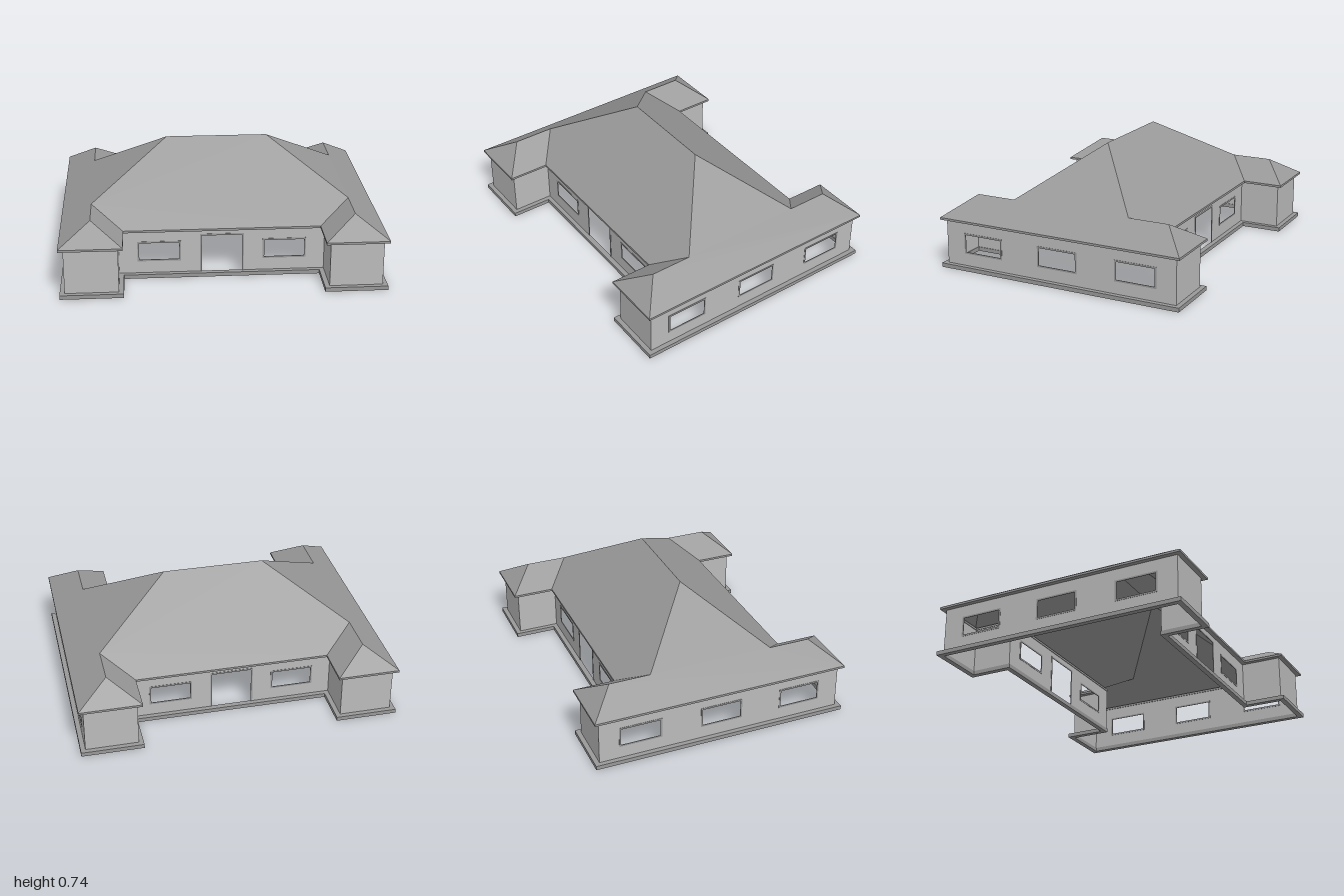
import * as THREE from 'three';

const material = color => new THREE.MeshStandardMaterial({ color, flatShading: true, side: THREE.DoubleSide });
const wallGrey = material(0xbbbbbb);
const darkGrey = material(0x999999);

function mesh(name, geometry, mat = darkGrey) {
  const m = new THREE.Mesh(geometry, mat);
  m.name = name;
  return m;
}

// H-shaped floor plan, offset outward from the walls by d
function plan(d) {
  const a = 0.97 + d, b = 0.642 - d, c = 0.786 + d, e = 0.524 + d;
  return [[a, -c], [a, c], [b, c], [b, e], [-b, e], [-b, c], [-a, c],
    [-a, -c], [-b, -c], [-b, -e], [b, -e], [b, -c]].map(([x, z]) => new THREE.Vector2(x, z));
}

// Flat band following the plan
function band(name, y, height) {
  const shape = new THREE.Shape(plan(0.03));
  shape.holes.push(new THREE.Path(plan(-0.004)));
  const g = new THREE.ExtrudeGeometry(shape, { depth: height, bevelEnabled: false });
  g.rotateX(-Math.PI / 2).translate(0, y, 0);
  return mesh(name, g);
}

function rect(Type, x0, x1, y0, y1) {
  return new Type([[x0, y0], [x1, y0], [x1, y1], [x0, y1]].map(p => new THREE.Vector2(...p)));
}

// Thin wall with framed openings [centre, half width, bottom, top]
function wall(name, width, x, z, angle, openings = []) {
  const group = new THREE.Group();
  group.name = name;
  const shape = rect(THREE.Shape, -width / 2, width / 2, 0.012, 0.315);
  const f = 0.011;
  for (const [c, h, y0, y1] of openings) {
    shape.holes.push(rect(THREE.Path, c - h, c + h, y0, y1));
    const frame = rect(THREE.Shape, c - h - f, c + h + f, y0 - f, y1 + f);
    frame.holes.push(rect(THREE.Path, c - h, c + h, y0, y1));
    const g = new THREE.ExtrudeGeometry(frame, { depth: 0.004, bevelEnabled: false });
    g.translate(0, 0, -0.002);
    group.add(mesh(y0 < 0.05 ? 'doorFrame' : 'windowFrame', g));
  }
  group.add(mesh('wallPanel', new THREE.ShapeGeometry(shape), wallGrey));
  group.position.set(x, 0, z);
  group.rotation.y = angle;
  return group;
}

// Sloping roof face from corners [x, y, z], wound to face upwards
function roofFace(name, corners) {
  const flat = corners.map(([x, , z]) => new THREE.Vector2(x, z));
  const pos = [];
  for (const [i, j, k] of THREE.ShapeUtils.triangulateShape(flat, [])) {
    const up = (flat[j].x - flat[i].x) * (flat[k].y - flat[i].y)
      - (flat[j].y - flat[i].y) * (flat[k].x - flat[i].x) < 0;
    for (const n of up ? [i, j, k] : [i, k, j]) pos.push(...corners[n]);
  }
  const g = new THREE.BufferGeometry();
  g.setAttribute('position', new THREE.Float32BufferAttribute(pos, 3));
  g.computeVertexNormals();
  return mesh(name, g);
}

export function createModel() {
  const house = new THREE.Group();
  house.name = 'house';

  house.add(band('plinth', 0, 0.026));
  house.add(band('eaves', 0.31, 0.014));

  // Walls
  const win = c => [c, 0.125, 0.115, 0.226];
  const door = [0, 0.126, 0.024, 0.268];
  for (const s of [1, -1]) {
    const facing = s > 0 ? 0 : Math.PI;
    house.add(wall(s > 0 ? 'frontWall' : 'backWall', 1.284, 0, s * 0.524, facing, [win(-0.391), door, win(0.391)]));
    house.add(wall(s > 0 ? 'leftWall' : 'rightWall', 1.572, s * 0.97, 0, s * Math.PI / 2,
      [win(-0.524), win(0), win(0.524)]));
    for (const t of [1, -1]) {
      house.add(wall('wingEndWall', 0.328, t * 0.806, s * 0.786, facing));
      house.add(wall('wingInnerWall', 0.262, t * 0.642, s * 0.655, -t * Math.PI / 2));
    }
  }

  // Hipped roof: main ridge across, lower ridges over the four wing ends
  const roof = new THREE.Group();
  roof.name = 'roof';
  const E = 0.324, R = 0.445, T = 0.743;
  for (const s of [1, -1]) {
    roof.add(roofFace(s > 0 ? 'frontRoof' : 'backRoof', [
      [-0.612, E, s * 0.554], [0.612, E, s * 0.554], [0.806, R, s * 0.395],
      [0.322, T, 0], [-0.322, T, 0], [-0.806, R, s * 0.395]]));
    roof.add(roofFace(s > 0 ? 'leftRoof' : 'rightRoof', [
      [s, E, 0.816], [s, E, -0.816], [s * 0.806, R, -0.656], [s * 0.806, R, -0.395],
      [s * 0.322, T, 0], [s * 0.806, R, 0.395], [s * 0.806, R, 0.656]]));
    for (const t of [1, -1]) {
      roof.add(roofFace('wingEndRoof', [
        [t * 0.612, E, s * 0.816], [t, E, s * 0.816], [t * 0.806, R, s * 0.656]]));
      roof.add(roofFace('wingInnerRoof', [
        [t * 0.612, E, s * 0.816], [t * 0.612, E, s * 0.554],
        [t * 0.806, R, s * 0.395], [t * 0.806, R, s * 0.656]]));
    }
  }
  house.add(roof);
  return house;
}
